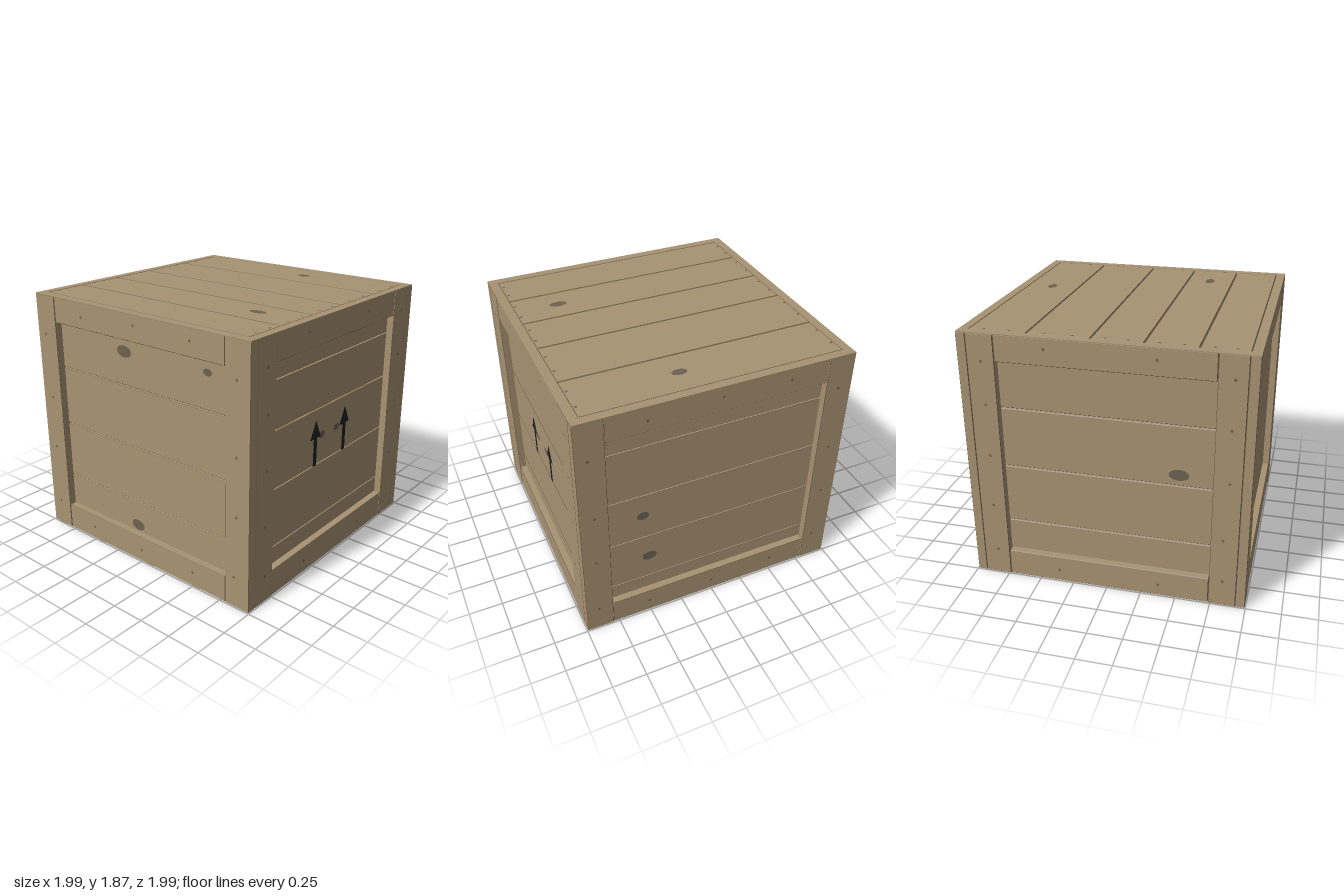
import * as THREE from 'three';

const mat = (name, color) => {
  const m = new THREE.MeshStandardMaterial({ color });
  m.name = name;
  return m;
};

// Box with narrow chamfers: group 0 is the six faces, group 1 the worn edges
function boardGeometry(x0, x1, y0, y1, z0, z1, c) {
  const mid = [(x0 + x1) / 2, (y0 + y1) / 2, (z0 + z1) / 2];
  const half = [(x1 - x0) / 2, (y1 - y0) / 2, (z1 - z0) / 2];
  const pos = [];
  const corner = (axis, s) =>
    new THREE.Vector3(...s.map((v, i) => v * (half[i] - (i === axis ? 0 : c))));
  const tri = (p, q, r) => {
    const n = q.clone().sub(p).cross(r.clone().sub(p));
    const out = p.clone().add(q).add(r);
    const order = n.dot(out) > 0 ? [p, q, r] : [p, r, q];
    for (const v of order) pos.push(v.x + mid[0], v.y + mid[1], v.z + mid[2]);
  };
  const quad = (p, q, r, s) => { tri(p, q, r); tri(p, r, s); };
  const signs = (a, b, sa, sb, d, sd) => {
    const s = [0, 0, 0];
    s[a] = sa; s[b] = sb; s[d] = sd;
    return s;
  };
  for (let a = 0; a < 3; a++) {
    const b = (a + 1) % 3, d = (a + 2) % 3;
    for (const s of [-1, 1]) {
      quad(...[[-1, -1], [1, -1], [1, 1], [-1, 1]].map(([t, u]) => corner(a, signs(a, b, s, t, d, u))));
    }
  }
  const faceCount = pos.length / 3;
  for (let a = 0; a < 3; a++) {
    const b = (a + 1) % 3, d = (a + 2) % 3;
    for (const s of [-1, 1]) for (const t of [-1, 1]) {
      const lo = signs(a, b, s, t, d, -1), hi = signs(a, b, s, t, d, 1);
      quad(corner(a, lo), corner(b, lo), corner(b, hi), corner(a, hi));
    }
  }
  for (const s of [-1, 1]) for (const t of [-1, 1]) for (const u of [-1, 1]) {
    tri(...[0, 1, 2].map((a) => corner(a, [s, t, u])));
  }
  const g = new THREE.BufferGeometry();
  g.setAttribute('position', new THREE.Float32BufferAttribute(pos, 3));
  g.addGroup(0, faceCount, 0);
  g.addGroup(faceCount, pos.length / 3 - faceCount, 1);
  g.computeVertexNormals();
  return g;
}

export function createModel() {
  const wood = mat('wood', 0xa89373);
  const edge = mat('wornEdge', 0x6c5c46);
  const dark = mat('darkGap', 0x3a3025);
  const knotMat = mat('knot', 0x6d6252);
  const nailMat = mat('nail', 0x73654f);
  const paint = mat('blackPaint', 0x1d1f21);
  const floorMat = mat('floorWood', 0x685a4a);

  const H = 1.863;          // height of posts and top rails
  const TOP = 1.868;        // top of the rim
  const OUT = 0.995;        // outer face of the frame
  const IN = 0.928;         // inner face of the frame
  const PLANK = 0.94;       // recessed plank face
  const RAIL = 0.992;       // rail face

  const model = new THREE.Group();
  model.name = 'crate';
  const add = (parent, name, geo, material) => {
    const m = new THREE.Mesh(geo, material);
    m.name = name;
    parent.add(m);
    return m;
  };
  const board = (parent, name, ...dims) =>
    add(parent, name, boardGeometry(...dims, 0.004), [wood, edge]);

  // Flat oval on a face at depth w, used for knots and nail heads
  const disc = (parent, name, material, w, u, v, ru, rv) => {
    const d = add(parent, name, new THREE.CircleGeometry(1, 14), material);
    d.scale.set(ru, rv, 1);
    d.position.set(u, v, w + 0.002);
  };
  const knot = (parent, ...place) => disc(parent, 'knot', knotMat, ...place);
  const nail = (parent, w, u, v) => disc(parent, 'nail', nailMat, w, u, v, 0.01, 0.011);

  // Planks split along the given seams, listed in rising order
  const planks = (parent, name, u, lo, hi, seams, w0, w1) => {
    const cuts = [lo, ...seams, hi];
    for (let i = 0; i < cuts.length - 1; i++) {
      board(parent, name, -u, u, cuts[i] + (i ? 0.004 : 0),
        cuts[i + 1] - (i < cuts.length - 2 ? 0.004 : 0), w0, w1);
    }
  };

  // Dark core behind the seams, and the floor
  add(model, 'core', new THREE.BoxGeometry(1.83, H - 0.05, 1.83), dark).position.y = H / 2;
  add(model, 'floor', new THREE.BoxGeometry(1.85, 0.02, 1.85), floorMat).position.y = 0.016;

  // Four walls, each built facing +z and turned into place
  const frontNails = [[-0.91, 1.57], [-0.89, 1.08], [-0.9, 0.67], [-0.9, 0.2],
    [0.89, 1.61], [0.89, 1.1], [0.89, 0.68], [0.87, 0.23]];
  const sideNails = [[0.845, 1.7], [0.84, 1.355], [0.845, 0.97], [0.82, 0.53], [0.83, 0.2],
    [-0.83, 1.67], [-0.82, 1.36], [-0.82, 0.975], [-0.83, 0.575], [-0.825, 0.2]];
  const frontRailNails = [[-0.51, 1.76], [0.01, 1.79], [0.51, 1.78], [-0.51, 0.1], [0, 0.09], [0.5, 0.11]];
  const sideRailNails = [[-0.39, 1.79], [0.355, 1.785], [-0.355, 0.09], [0.375, 0.09]];
  const walls = [
    { name: 'frontWall', turn: 0, wide: true, seams: [0.443, 0.877, 1.325],
      knots: [[-0.14, 1.573, 0.069, 0.043], [0.612, 1.583, 0.037, 0.025], [-0.077, 0.253, 0.063, 0.042]] },
    { name: 'leftWall', turn: 1, wide: false, seams: [0.327, 0.763, 1.188, 1.535], arrows: true,
      knots: [[-0.107, 0.98, 0.04, 0.026], [0.083, 0.978, 0.04, 0.026]] },
    { name: 'backWall', turn: 2, wide: true, seams: [0.31, 0.71, 1.1, 1.52],
      knots: [[-0.53, 0.92, 0.045, 0.035], [-0.485, 0.517, 0.055, 0.038]] },
    { name: 'rightWall', turn: 3, wide: false, seams: [0.44, 0.88, 1.325],
      knots: [[0.5, 0.963, 0.07, 0.042]] },
  ];
  for (const w of walls) {
    const g = new THREE.Group();
    g.name = w.name;
    g.rotation.y = w.turn * Math.PI / 2;
    model.add(g);
    const inner = w.wide ? 0.794 : 0.737;
    const outer = w.wide ? OUT : IN - 0.001;
    planks(g, 'wallPlank', 0.925, 0.006, H - 0.04, w.seams, 0.905, PLANK);
    for (const s of [-1, 1]) {
      board(g, 'cornerPost', Math.min(s * inner, s * outer), Math.max(s * inner, s * outer), 0, H, IN, OUT);
    }
    const r = inner - 0.003;
    board(g, 'bottomRail', -r, r, 0, 0.2, IN, RAIL);
    board(g, 'topRail', -r, r, 1.675, H, IN, RAIL);
    w.knots.forEach((k) => knot(g, PLANK, ...k));
    (w.wide ? frontNails : sideNails).forEach((n) => nail(g, OUT, ...n));
    (w.wide ? frontRailNails : sideRailNails).forEach((n) => nail(g, RAIL, ...n));

    // Painted upward arrows
    if (w.arrows) for (const u of [-0.19, 0.185]) {
      const outline = [[-0.021, 0.765], [0.021, 0.765], [0.021, 0.975], [0.065, 0.975],
        [0, 1.11], [-0.065, 0.975], [-0.021, 0.975]];
      const shape = new THREE.Shape(outline.map(([x, y]) => new THREE.Vector2(x, y)));
      add(g, 'paintedArrow', new THREE.ShapeGeometry(shape), paint).position.set(u, 0, PLANK + 0.004);
    }
  }

  // Lid, built facing +z and laid flat
  const lid = new THREE.Group();
  lid.name = 'lid';
  lid.rotation.x = -Math.PI / 2;
  model.add(lid);
  planks(lid, 'lidPlank', IN - 0.002, -0.925, IN - 0.001, [-0.608, -0.255, 0.097, 0.53], H - 0.035, TOP - 0.001);
  knot(lid, TOP, 0.18, 0.735, 0.055, 0.034);
  knot(lid, TOP, 0.61, -0.43, 0.065, 0.035);
  for (const z of [-0.825, -0.65, -0.405, -0.22, 0, 0.15, 0.35, 0.51, 0.7, 0.84]) {
    for (const s of [-1, 1]) nail(lid, TOP, s * 0.907, -z);
  }

  // Continuous rim around the lid
  const square = (h) => [[-h, -h], [h, -h], [h, h], [-h, h]].map(([x, y]) => new THREE.Vector2(x, y));
  const rim = new THREE.Shape(square(OUT - 0.002));
  rim.holes.push(new THREE.Path(square(IN + 0.003)));
  const rimGeo = new THREE.ExtrudeGeometry(rim, { depth: TOP - H + 0.002, bevelEnabled: false });
  add(lid, 'topRim', rimGeo, wood).position.z = H - 0.002;
  return model;
}
